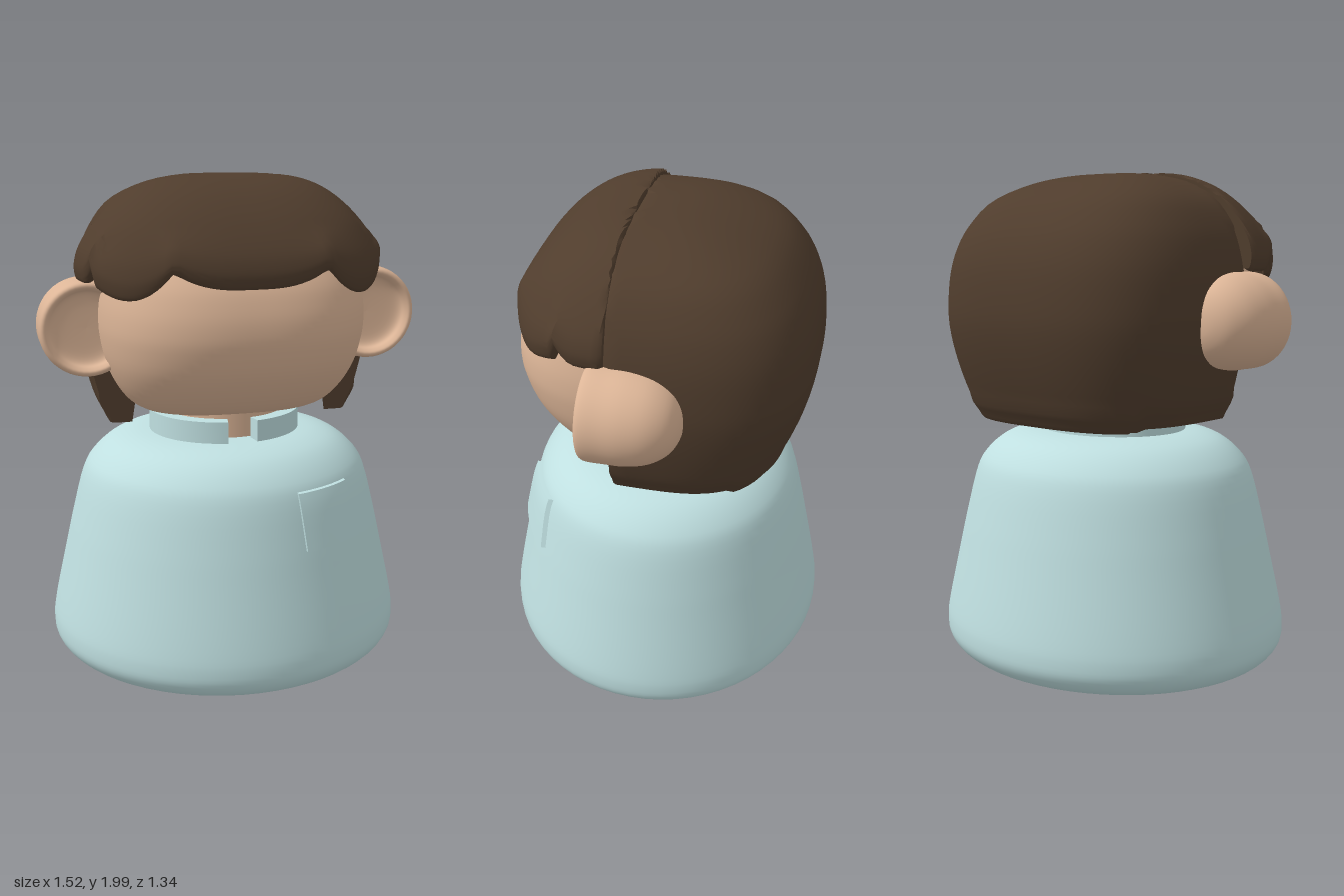
import * as THREE from 'three';
import { mergeVertices, toCreasedNormals } from 'three/addons/utils/BufferGeometryUtils.js';

const colour = (name, hex) => {
  const m = new THREE.MeshStandardMaterial({ color: hex });
  m.name = name;
  return m;
};
const v2 = (pts) => pts.map(([x, y]) => new THREE.Vector2(x, y));
const smooth = (pts, n = 48) => new THREE.SplineCurve(v2(pts)).getPoints(n)
  .map((p) => new THREE.Vector2(Math.max(0, p.x), p.y));

// Lathe whose rings are superellipses; profile is [scale, y], rule adjusts each vertex
function roundedLoft(profile, { a, b, n, e = 1, segments = 96, crease = 0.7 }, rule) {
  let geo = new THREE.LatheGeometry(smooth(profile), segments);
  const pos = geo.attributes.position;
  const v = new THREE.Vector3();
  for (let i = 0; i < pos.count; i++) {
    v.fromBufferAttribute(pos, i);
    const s = Math.hypot(v.x, v.z);
    if (s > 1e-6) {
      const u = v.x / s, w = v.z / s;
      const k = Math.pow(Math.abs(u) ** n + Math.abs(w) ** n, -1 / n);
      v.x = a * Math.pow(s, e) * u * k;
      v.z = b * s * w * k;
    }
    if (rule) rule(v);
    pos.setXYZ(i, v.x, v.y, v.z);
  }
  geo.deleteAttribute('uv');
  geo.deleteAttribute('normal');
  geo = mergeVertices(geo, 1e-5);
  return toCreasedNormals(geo, crease);
}

export function createModel() {
  const model = new THREE.Group();
  const cloth = colour('pale blue cloth', 0xbfdfe0);
  const skin = colour('skin', 0xdcb597);
  const brown = colour('brown hair', 0x503d2d);
  const add = (name, geo, mat) => {
    const mesh = new THREE.Mesh(geo, mat);
    mesh.name = name;
    model.add(mesh);
    return mesh;
  };

  // Bell-shaped body, slightly narrower front to back
  const depth = 0.67 / 0.73;
  const side = smooth([[0.5, 0.01], [0.6, 0.02], [0.675, 0.05], [0.72, 0.1], [0.73, 0.16], [0.718, 0.25],
    [0.667, 0.48], [0.635, 0.62], [0.59, 0.79], [0.545, 0.865], [0.47, 0.925], [0.38, 0.955], [0.28, 0.965]]);
  const bodyGeo = new THREE.LatheGeometry(
    [new THREE.Vector2(0, 0.005), ...side, new THREE.Vector2(0, 0.97)], 64);
  bodyGeo.scale(1, 1, depth);
  add('body', bodyGeo, cloth);

  // Chest pocket wrapped over the body surface
  const radiusAt = (y) => {
    const i = side.findIndex((p) => p.y >= y);
    const p = side[i - 1], q = side[i];
    return p.x + (q.x - p.x) * (y - p.y) / (q.y - p.y);
  };
  const pocket = new THREE.BoxGeometry(1, 1, 1, 10, 10, 1);
  const pp = pocket.attributes.position;
  for (let i = 0; i < pp.count; i++) {
    const t = pp.getY(i) + 0.5, u = pp.getX(i) + 0.5;
    const y = 0.6 + 0.22 * t;
    const x = THREE.MathUtils.lerp(0.19 - 0.025 * t, 0.45 - 0.055 * t, u);
    const z = depth * Math.sqrt(radiusAt(y) ** 2 - x * x);
    pp.setXYZ(i, x, y, z + (pp.getZ(i) > 0 ? 0.02 : -0.02));
  }
  add('pocket', toCreasedNormals(pocket, 0.6), cloth);

  // Split collar and neck
  const ring = new THREE.Shape();
  const from = -77 * Math.PI / 180, to = 260.7 * Math.PI / 180;
  ring.absarc(0, 0, 0.31, from, to, false);
  ring.absarc(0, 0, 0.25, to, from, true);
  const collar = new THREE.ExtrudeGeometry(ring, { depth: 0.11, bevelEnabled: false, curveSegments: 40 });
  collar.rotateX(-Math.PI / 2).scale(1, 1, 0.91).translate(0, 0.94, 0);
  add('collar', toCreasedNormals(collar, 0.5), cloth);
  const neck = new THREE.CylinderGeometry(0.23, 0.23, 0.2, 40);
  neck.scale(1, 1, 0.91).translate(0, 1.01, 0);
  add('neck', neck, skin);

  // Head
  add('head', roundedLoft(
    [[0, 1.04], [0.2, 1.05], [0.55, 1.09], [0.75, 1.16], [0.91, 1.27], [0.985, 1.38], [1, 1.46],
      [0.98, 1.54], [0.92, 1.63], [0.78, 1.73], [0.5, 1.82], [0.2, 1.86], [0, 1.87]],
    { a: 0.53, b: 0.55, n: 2.7, e: 0.6, crease: 3 }), skin);

  // Back hair: hollow below, cut flat along its front
  add('backHair', roundedLoft(
    [[0.8, 1.28], [0.76, 1.12], [0.745, 1.05], [0.775, 1.03], [0.81, 1.06], [0.87, 1.12], [0.945, 1.25],
      [0.99, 1.37], [1, 1.47], [0.98, 1.6], [0.93, 1.7], [0.85, 1.785], [0.7, 1.88], [0.45, 1.95],
      [0.2, 1.985], [0, 1.99]],
    { a: 0.59, b: 0.605, n: 3, e: 0.75 }, (v) => {
      if (v.z < -0.35 && v.y < 1.1) v.y -= 0.018;
      if (v.z > 0.105) {
        v.z = 0.105;
        v.x *= 0.985;
        if (v.y > 1.9) v.y -= 0.01;
        if (Math.abs(v.x) < 0.4) v.y = Math.max(v.y, 1.2);
      }
    }), brown);

  // Fringe with a scalloped lower edge and a flat back
  const hem = (x, z) => {
    const d = Math.abs(x);
    if (d < 0.29) return 1.61 + 0.065 * (d / 0.29) ** 3;
    if (z > 0.29) return 1.57 + 0.105 * Math.min(1, Math.abs(d - 0.45) / 0.16) ** 2;
    return 1.61 + 0.07 * THREE.MathUtils.clamp((z - 0.21) / 0.08, 0, 1) ** 2;
  };
  add('fringe', roundedLoft(
    [[0.87, 1.75], [0.89, 1.64], [0.93, 1.605], [0.98, 1.6], [1, 1.63], [1, 1.67], [0.965, 1.73], [0.87, 1.81],
      [0.75, 1.88], [0.6, 1.94], [0.42, 1.98], [0.2, 1.998], [0, 2.0]],
    { a: 0.605, b: 0.53, n: 2.8, e: 0.85, segments: 144 }, (v) => {
      const fade = THREE.MathUtils.clamp((1.82 - v.y) / 0.22, 0, 1);
      if (v.z > 0.1) v.y += (hem(v.x, v.z) - 1.6) * fade;
      else {
        v.z = 0.1;
        v.x *= 0.98;
        v.y += 0.02 * fade - (v.y > 1.9 ? 0.012 : 0);
      }
      v.x -= 0.012;
    }), brown);

  // Cupped ears
  const earProfile = smooth([[0, -0.19], [0.06, -0.182], [0.12, -0.15], [0.165, -0.085], [0.185, 0], [0.187, 0.08],
    [0.187, 0.135], [0.18, 0.16], [0.165, 0.165], [0.152, 0.15], [0.14, 0.125], [0.1, 0.113], [0, 0.11]]);
  for (const s of [1, -1]) {
    const ear = add(s > 0 ? 'leftEar' : 'rightEar', new THREE.LatheGeometry(earProfile, 48).rotateX(Math.PI / 2), skin);
    ear.position.set(s * 0.573, s > 0 ? 1.437 : 1.42, 0);
  }
  return model;
}
